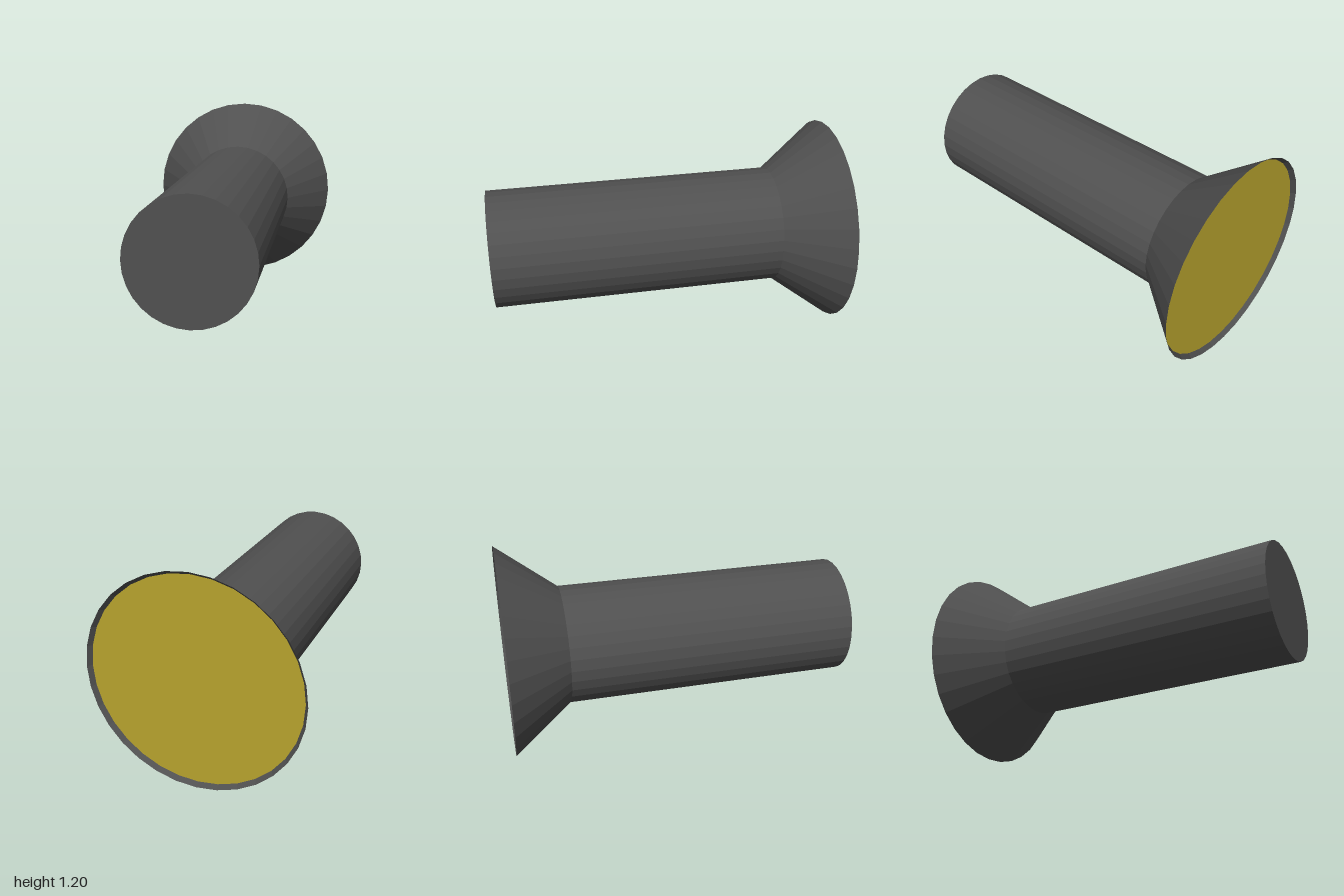
import * as THREE from 'three';

const SIDES = 32;
const AXIS_Y = 0.6;

export function createModel() {
  const group = new THREE.Group();
  group.name = 'flashlight';

  const body = new THREE.MeshStandardMaterial({ color: 0x505050, flatShading: true, side: THREE.DoubleSide });
  const glass = new THREE.MeshStandardMaterial({ color: 0xb8a42e, side: THREE.DoubleSide });

  const add = (name, geometry, material, z) => {
    const mesh = new THREE.Mesh(geometry, material);
    mesh.name = name;
    mesh.position.set(0, AXIS_Y, z);
    group.add(mesh);
  };

  // Closed handle tube along z
  add('barrel', new THREE.CylinderGeometry(0.34, 0.34, 1.66, SIDES).rotateX(Math.PI / 2), body, 0.17);

  // Flared head, open at the back so its rim surrounds the lens
  add('head', new THREE.CylinderGeometry(0.34, 0.6, 0.34, SIDES, 1, true).rotateX(Math.PI / 2), body, -0.83);

  // Lens disc set just inside the rim
  add('lens', new THREE.CircleGeometry(0.58, SIDES).rotateY(Math.PI), glass, -0.975);

  return group;
}
